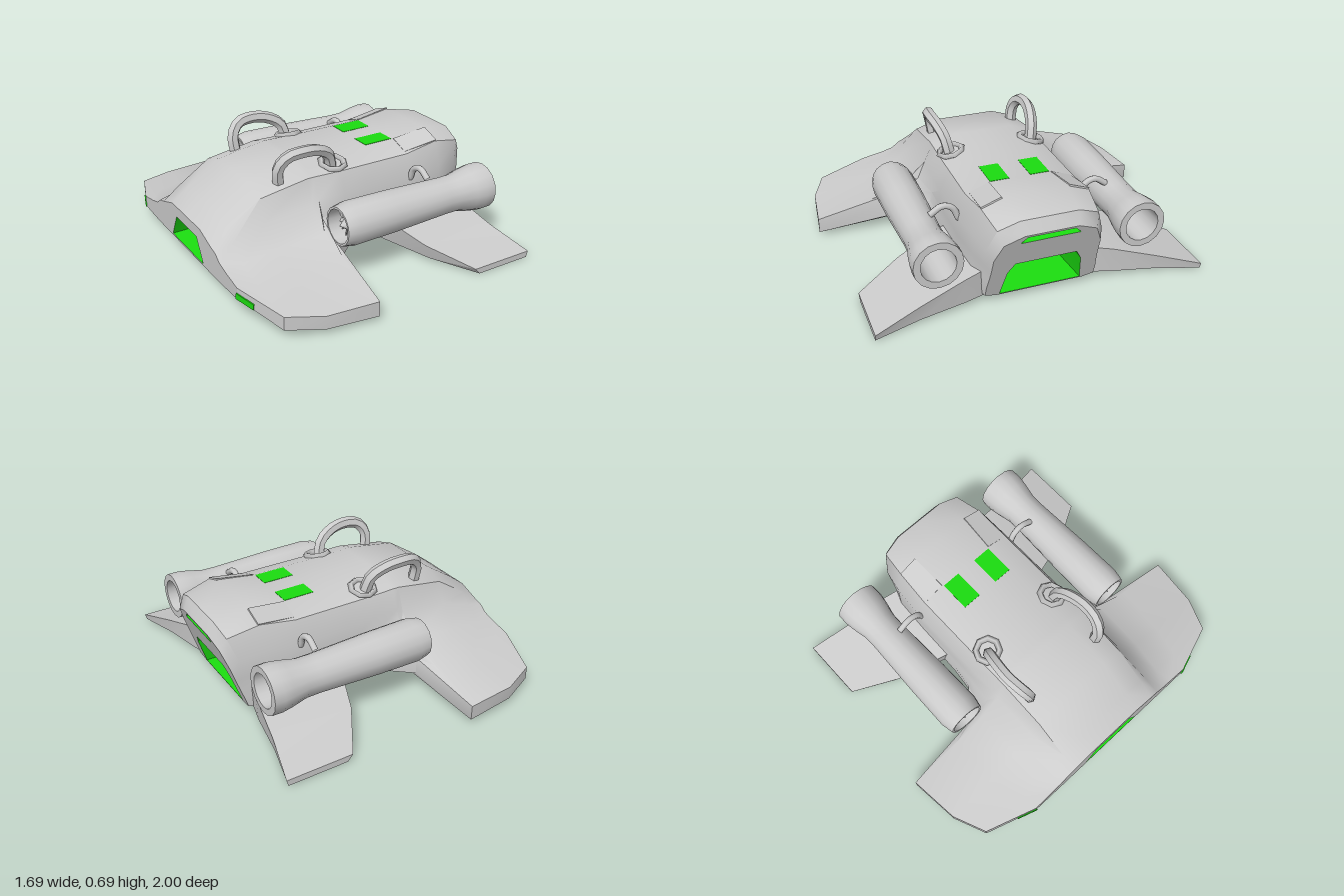
import * as THREE from 'three';
import { toCreasedNormals } from 'three/addons/utils/BufferGeometryUtils.js';

const grey = new THREE.MeshStandardMaterial({ color: 0xcccccc });
const greyThin = new THREE.MeshStandardMaterial({ color: 0xcccccc, side: THREE.DoubleSide });
const green = new THREE.MeshStandardMaterial({ color: 0x1bdc10, side: THREE.DoubleSide });
const mix = THREE.MathUtils.lerp;

function add(parent, name, geometry, material = grey, x = 0, y = 0, z = 0) {
  const mesh = new THREE.Mesh(geometry, material);
  mesh.name = name;
  mesh.position.set(x, y, z);
  parent.add(mesh);
  return mesh;
}

// Skin over a row of closed rings of [x, y, z] points, optionally capped at the end
function loft(rings, crease, capped = false) {
  const n = rings[0].length;
  const index = [];
  for (let i = 0; i < rings.length - 1; i++) {
    for (let j = 0; j < n; j++) {
      const a = i * n + j, c = i * n + (j + 1) % n;
      index.push(a, c, a + n, a + n, c, c + n);
    }
  }
  const last = (rings.length - 1) * n;
  if (capped) for (let j = 1; j < n - 1; j++) index.push(last, last + j, last + j + 1);
  const g = new THREE.BufferGeometry();
  g.setAttribute('position', new THREE.Float32BufferAttribute(rings.flat(2), 3));
  g.setIndex(index);
  return toCreasedNormals(g, crease);
}

// Hull cross-section: a flat roof, shoulder and flank that sweep out concavely to the
// wing edge. lean slides the lower points forward so the section tilts.
function section({ x, top, edge, edgeTop, edgeBottom, keel, body = 1, lean = 0 }) {
  const flank = 0.36 * body;
  const outline = [
    [0, top],
    [0.18 * body, top],
    [0.31 * body, top - 0.045],
    [flank, mix(top, edgeTop, 0.42)],
    [mix(flank, edge, 0.2), mix(top, edgeTop, 0.68)],
    [mix(flank, edge, 0.5), mix(top, edgeTop, 0.83)],
    [edge, edgeTop],
    [edge, edgeBottom],
    [Math.min(0.4, edge * 0.8), keel],
    [0, keel]
  ];
  const half = outline.map(([z, y]) => [x - lean * (0.46 - y), y, z]);
  const other = half.slice(1, -1).reverse().map(([px, y, z]) => [px, y, -z]);
  return [...half, ...other];
}

// Flat end wall with openings; points are [z, y]
function endWall(ring, holes, xAt, flip) {
  const shape = new THREE.Shape(ring.map(p => new THREE.Vector2(p[2], p[1])));
  for (const h of holes) shape.holes.push(new THREE.Path(h.map(([z, y]) => new THREE.Vector2(z, y))));
  const g = new THREE.ShapeGeometry(shape);
  const p = g.attributes.position;
  for (let i = 0; i < p.count; i++) {
    const u = p.getX(i), y = p.getY(i);
    p.setXYZ(i, xAt(y), y, flip ? -u : u);
  }
  g.computeVertexNormals();
  return g;
}

// Pocket behind an opening: walls running inward to a closed back
function pocket(hole, xAt, backX) {
  const mouth = hole.map(([z, y]) => [xAt(y), y, z]);
  const back = hole.map(([z, y]) => [backX, y + 0.02, z * 0.85]);
  return loft([mouth, back], 0.2, true);
}

const trapezoid = (bottom, top, y0, y1) => [[-bottom, y0], [bottom, y0], [top, y1], [-top, y1]];

function buildHull(parent) {
  const rings = [
    { x: -0.84, top: 0.3, edge: 0.6, edgeTop: 0.165, edgeBottom: 0.1, keel: 0.09 },
    { x: -0.74, top: 0.375, edge: 0.89, edgeTop: 0.125, edgeBottom: 0.05, keel: 0.07 },
    { x: -0.55, top: 0.5, edge: 0.97, edgeTop: 0.11, edgeBottom: 0.035, keel: 0.06 },
    { x: -0.26, top: 0.545, edge: 1, edgeTop: 0.11, edgeBottom: 0.025, keel: 0.06 },
    { x: -0.22, top: 0.545, edge: 0.56, edgeTop: 0.18, edgeBottom: 0.08, keel: 0.065 },
    { x: -0.05, top: 0.54, edge: 0.4, edgeTop: 0.16, edgeBottom: 0.07, keel: 0.05 },
    { x: 0.1, top: 0.54, edge: 0.38, edgeTop: 0.14, edgeBottom: 0.05, keel: 0.03 },
    { x: 0.4, top: 0.54, edge: 0.37, edgeTop: 0.13, edgeBottom: 0.05, keel: 0.035 },
    { x: 0.61, top: 0.57, edge: 0.36, edgeTop: 0.13, edgeBottom: 0.05, keel: 0.035, body: 0.97 },
    { x: 0.78, top: 0.53, edge: 0.33, edgeTop: 0.12, edgeBottom: 0.05, keel: 0.035, body: 0.89, lean: 0.34 },
    { x: 0.84, top: 0.46, edge: 0.31, edgeTop: 0.11, edgeBottom: 0.05, keel: 0.035, body: 0.82, lean: 0.34 }
  ].map(section);
  add(parent, 'hull', loft(rings, 0.8));

  // End walls with green pockets
  const noseX = () => -0.84;
  const tailX = y => 0.84 - 0.34 * (0.46 - y);
  const mouth = trapezoid(0.2, 0.13, 0.1, 0.235);
  const bay = [[-0.23, 0.042], [0.23, 0.042], [0.205, 0.2], [0.17, 0.26], [-0.17, 0.26], [-0.205, 0.2]];
  const slot = trapezoid(0.165, 0.13, 0.412, 0.447);
  add(parent, 'noseWall', endWall(rings[0], [mouth], noseX, false));
  add(parent, 'tailWall', endWall(rings[rings.length - 1], [bay, slot], tailX, true));
  add(parent, 'nosePocket', pocket(mouth, noseX, -0.72), green);
  add(parent, 'tailBay', pocket(bay, tailX, 0.4), green);
  add(parent, 'tailSlot', pocket(slot, tailX, 0.72), green);
}

// Everything on the +z side
function buildSide() {
  const side = new THREE.Group();
  side.name = 'sideParts';

  // Rear wing
  const wingRing = (lead, trail, top, bottom, z) =>
    [[trail, top, z], [lead, top, z], [lead + 0.03, bottom, z], [trail - 0.01, bottom, z]];
  add(side, 'rearWing', loft([
    wingRing(0.15, 0.68, 0.2, 0.037, 0.3),
    wingRing(0.19, 0.71, 0.18, 0.032, 0.42),
    wingRing(0.28, 0.75, 0.105, 0.018, 0.67),
    wingRing(0.43, 0.81, 0.035, 0, 0.92)
  ], 0.3, true));

  // Engine tube with a fan near its intake
  const engine = new THREE.Group();
  engine.name = 'engine';
  engine.position.set(0, 0.32, 0.565);
  engine.rotation.z = -Math.PI / 2;
  side.add(engine);
  const profile = [[0.095, 0.74], [0.095, -0.23], [0.108, -0.23], [0.122, -0.16], [0.118, 0.1],
    [0.105, 0.45], [0.106, 0.53], [0.125, 0.62], [0.134, 0.68], [0.133, 0.74], [0.095, 0.74]];
  add(engine, 'engineShell',
    toCreasedNormals(new THREE.LatheGeometry(profile.map(p => new THREE.Vector2(...p)), 16), 0.6), greyThin);
  const cone = new THREE.ConeGeometry(0.05, 0.07, 8);
  add(engine, 'fanTailCone', cone, grey, 0, -0.115, 0);
  add(engine, 'fanNoseCone', cone, grey, 0, -0.185, 0).rotation.x = Math.PI;
  for (let i = 0; i < 14; i++) {
    const spoke = new THREE.Group();
    spoke.name = 'fanBlade';
    spoke.rotation.y = i / 14 * Math.PI * 2;
    add(spoke, 'blade', new THREE.BoxGeometry(0.06, 0.005, 0.022), grey, 0.068, -0.15, 0).rotation.x = 0.6;
    engine.add(spoke);
  }

  // Bent tubes: carrying handle and engine strut
  const tube = (points, radius, sides) => new THREE.TubeGeometry(
    new THREE.CatmullRomCurve3(points.map(p => new THREE.Vector3(...p))), 14, radius, sides);
  const handlePath = [[-0.405, 0.49, 0.25], [-0.41, 0.58, 0.265], [-0.365, 0.64, 0.285], [-0.28, 0.655, 0.295],
    [-0.18, 0.64, 0.285], [-0.1, 0.59, 0.265], [-0.075, 0.51, 0.25]];
  add(side, 'handle', toCreasedNormals(tube(handlePath, 0.034, 6), 0.5));
  add(side, 'engineStrut', tube([[0.4, 0.36, 0.35], [0.4, 0.43, 0.385], [0.4, 0.45, 0.44], [0.4, 0.41, 0.51]], 0.018, 8));

  // Octagonal collar at the handle foot
  const collar = add(side, 'handleCollar', new THREE.TorusGeometry(0.068, 0.018, 4, 8), grey, -0.06, 0.525, 0.245);
  collar.rotation.x = Math.PI / 2 + 0.25;

  // Shoulder plate, roof window and nose light
  const plate = add(side, 'shoulderPlate', new THREE.BoxGeometry(0.22, 0.03, 0.12), grey, 0.51, 0.524, 0.235);
  plate.rotation.set(0.35, 0, 0.14);
  add(side, 'roofWindow', new THREE.BoxGeometry(0.18, 0.02, 0.11), green, 0.3, 0.532, 0.115);
  const light = add(side, 'noseLight', new THREE.BoxGeometry(0.01, 0.035, 0.12), green, -0.823, 0.11, 0.65);
  light.rotation.set(0.16, 0.33, 0);
  return side;
}

export function createModel() {
  const model = new THREE.Group();
  model.name = 'flyer';
  buildHull(model);
  const left = buildSide();
  const right = buildSide();
  right.scale.z = -1;
  model.add(left, right);
  return model;
}
